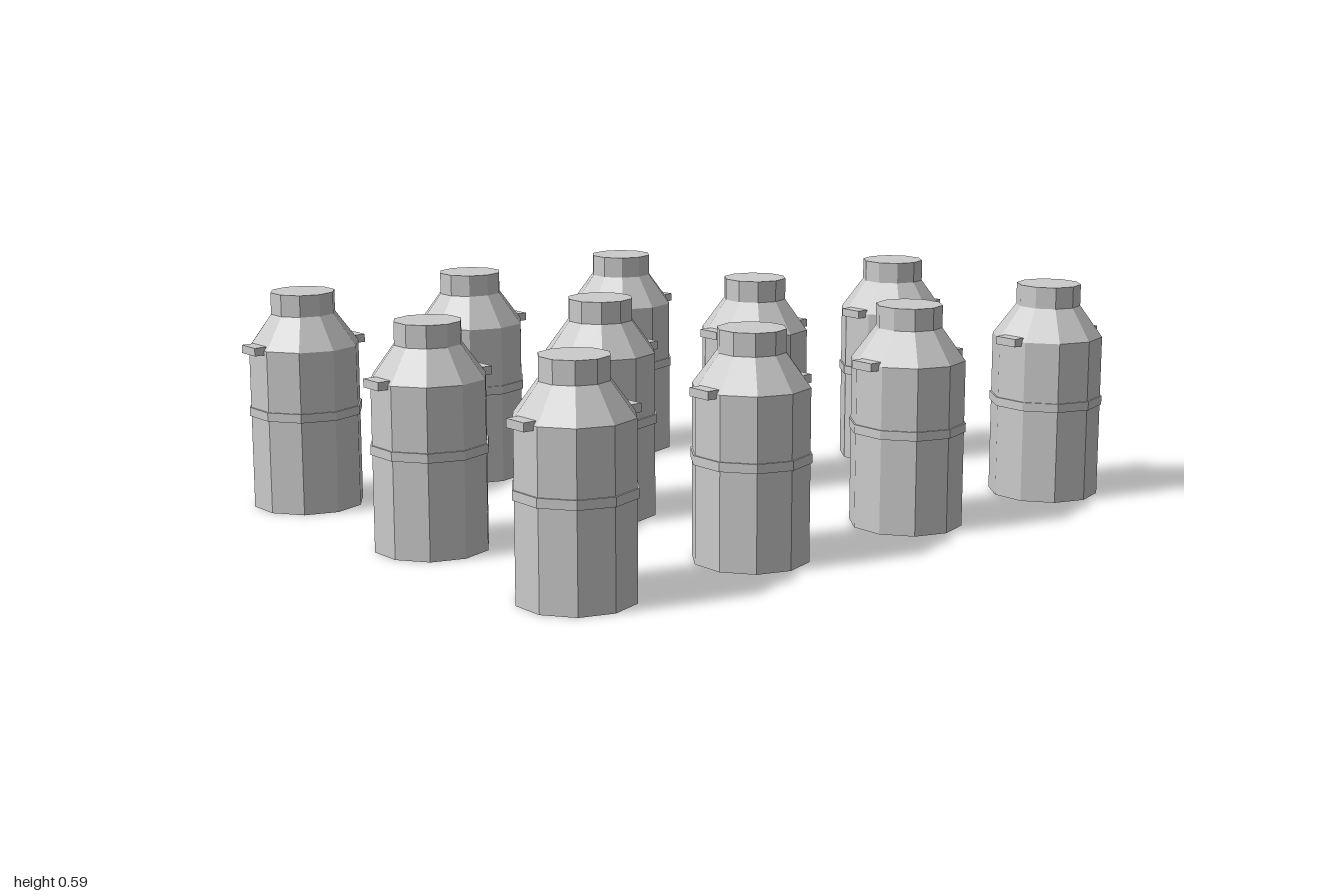
import * as THREE from 'three';

const SIDES = 10;
const material = new THREE.MeshStandardMaterial({ color: 0xcccccc, flatShading: true });

function part(name, geometry, x, y) {
  const mesh = new THREE.Mesh(geometry, material);
  mesh.name = name;
  mesh.position.set(x, y, 0);
  return mesh;
}

// Ten-sided drum between two heights
function drum(name, rBottom, rTop, y0, y1, open = false) {
  return part(name, new THREE.CylinderGeometry(rTop, rBottom, y1 - y0, SIDES, 1, open), 0, (y0 + y1) / 2);
}

function createCan() {
  const can = new THREE.Group();
  can.name = 'milkCan';
  can.add(
    drum('body', 0.151, 0.151, 0, 0.445),
    drum('band', 0.1555, 0.1555, 0.255, 0.279),
    drum('shoulder', 0.151, 0.088, 0.445, 0.531, true),
    drum('lid', 0.088, 0.088, 0.531, 0.59),
  );
  // Small grip on each side, at the shoulder
  for (const side of [-1, 1]) {
    const name = side > 0 ? 'leftHandle' : 'rightHandle';
    can.add(part(name, new THREE.BoxGeometry(0.036, 0.022, 0.068), side * 0.154, 0.445));
  }
  return can;
}

export function createModel() {
  const model = new THREE.Group();
  model.name = 'milkCans';
  // Three rows of four, with one can missing from the back left corner
  const columns = [-0.828, -0.277, 0.277, 0.828];
  const rows = [-0.607, 0, 0.607];
  rows.forEach((z, r) => columns.forEach((x, c) => {
    if (r === 0 && c === 3) return;
    const can = createCan();
    can.position.set(x, 0, z);
    model.add(can);
  }));
  return model;
}
